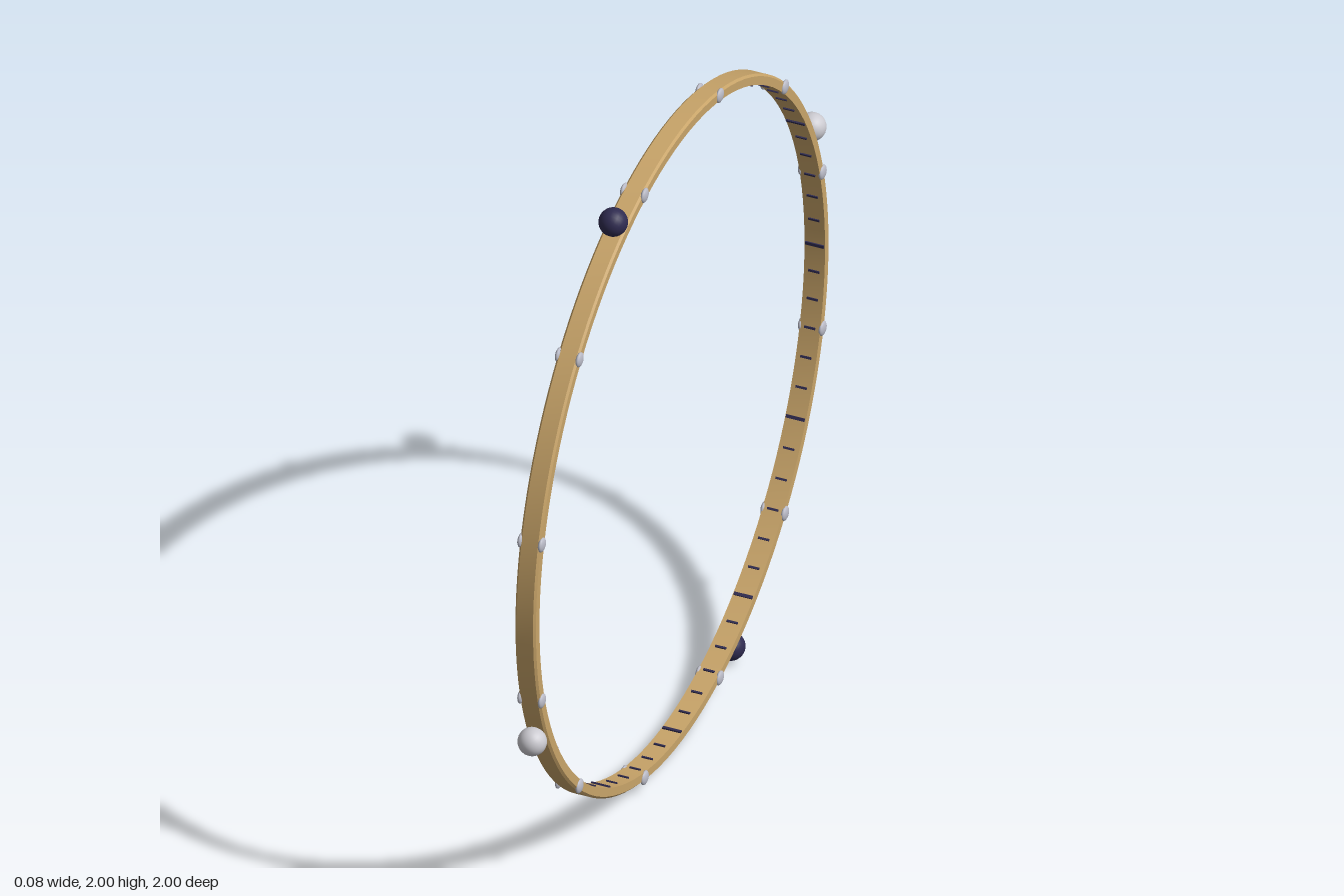
import * as THREE from 'three';
import { toCreasedNormals } from 'three/addons/utils/BufferGeometryUtils.js';

const OUTER = 1.0, INNER = 0.97, HALF = 0.03, BEVEL = 0.006;

export function createModel() {
  const model = new THREE.Group();
  const gold = new THREE.MeshStandardMaterial({ name: 'gold', color: 0xc8a469 });
  const silver = new THREE.MeshStandardMaterial({ name: 'silver', color: 0xb9bac6 });
  const pearl = new THREE.MeshStandardMaterial({ name: 'pearl', color: 0xcbcad0 });
  const navy = new THREE.MeshStandardMaterial({ name: 'navy', color: 0x2f2b50 });

  // Everything on the ring is placed by an angle in the y-z plane, from +z towards +y
  const add = (name, geometry, material, degrees, radius, x = 0) => {
    const a = THREE.MathUtils.degToRad(degrees);
    const mesh = new THREE.Mesh(geometry, material);
    mesh.name = name;
    mesh.position.set(x, 1 + radius * Math.sin(a), radius * Math.cos(a));
    mesh.rotation.x = -a;
    model.add(mesh);
    return mesh;
  };

  // Flat hoop with small chamfers on the outer edges
  const profile = [
    [INNER, -HALF], [OUTER - BEVEL, -HALF], [OUTER, -HALF + BEVEL],
    [OUTER, HALF - BEVEL], [OUTER - BEVEL, HALF], [INNER, HALF], [INNER, -HALF],
  ].map(([r, y]) => new THREE.Vector2(r, y));
  const hoop = new THREE.LatheGeometry(profile, 128).rotateZ(Math.PI / 2);
  add('hoop', toCreasedNormals(hoop, 0.5), gold, 0, 0);

  // Graduation marks round the inside, longer every 30 degrees
  const minor = new THREE.BoxGeometry(0.032, 0.006, 0.006);
  const major = new THREE.BoxGeometry(0.054, 0.009, 0.007);
  for (let d = 0; d < 360; d += 5) {
    const long = d % 30 === 0;
    add(long ? 'majorMark' : 'minorMark', long ? major : minor, navy, d, INNER - 0.001);
  }

  // Domed rivets on both side faces
  const rivet = new THREE.SphereGeometry(0.021, 16, 12).scale(0.4, 1, 1);
  for (let d = 15; d < 360; d += 30) {
    for (const side of [-1, 1]) add('rivet', rivet, silver, d, 0.987, side * HALF);
  }

  // Four beads on the outside, alternating dark and light
  const bead = new THREE.SphereGeometry(0.04, 24, 16);
  [67.2, 157.2, 247.2, 337.2].forEach((d, i) => {
    add(i % 2 ? 'lightBead' : 'darkBead', bead, i % 2 ? pearl : navy, d, 1.03);
  });

  return model;
}
